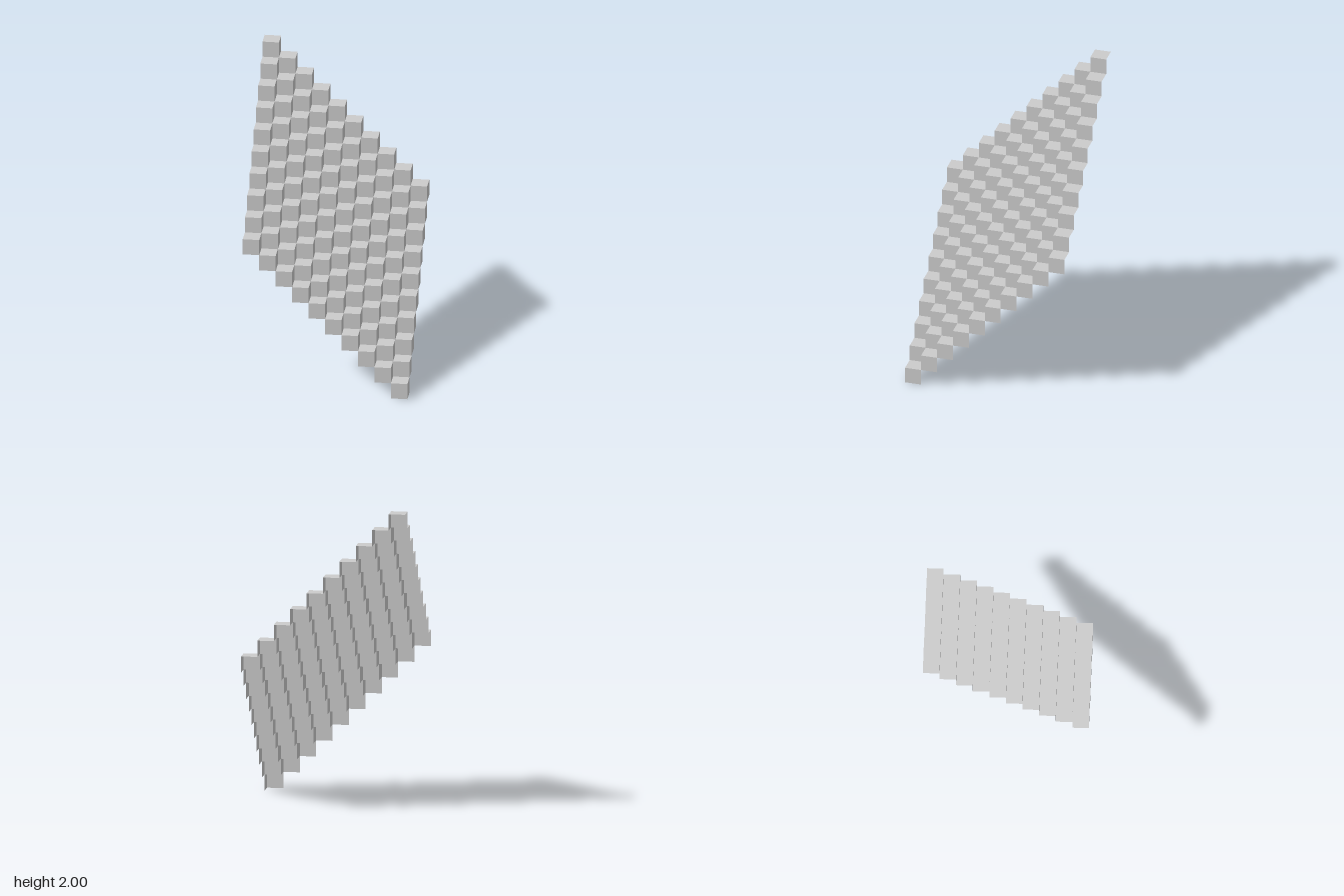
import * as THREE from 'three';
import { mergeGeometries } from 'three/addons/utils/BufferGeometryUtils.js';

const COUNT = 10;                    // cells along x and along z
const SIZE = 2 / (2 * COUNT - 1);    // edge of one cell

// Open cube corner: only the top, front (+z) and right (+x) faces
function cubeCorner() {
  const h = SIZE / 2;
  const face = () => new THREE.PlaneGeometry(SIZE, SIZE);
  return mergeGeometries([
    face().rotateX(-Math.PI / 2).translate(0, h, 0),
    face().translate(0, 0, h),
    face().rotateY(Math.PI / 2).translate(h, 0, 0),
  ]);
}

export function createModel() {
  const model = new THREE.Group();
  model.name = 'steppedCubeSheet';
  const geometry = cubeCorner();
  const material = new THREE.MeshStandardMaterial({
    color: 0xcccccc, flatShading: true, side: THREE.DoubleSide,
  });

  // Each row steps down towards +z, each cell steps down towards +x
  const mid = (COUNT - 1) / 2;
  for (let j = 0; j < COUNT; j++) {
    const row = new THREE.Group();
    row.name = `row${j + 1}`;
    for (let i = 0; i < COUNT; i++) {
      const cell = new THREE.Mesh(geometry, material);
      cell.name = `cubeCorner${i + 1}`;
      const level = 2 * (COUNT - 1) - i - j;
      cell.position.set((i - mid) * SIZE, (level + 0.5) * SIZE, (j - mid) * SIZE);
      row.add(cell);
    }
    model.add(row);
  }
  return model;
}
